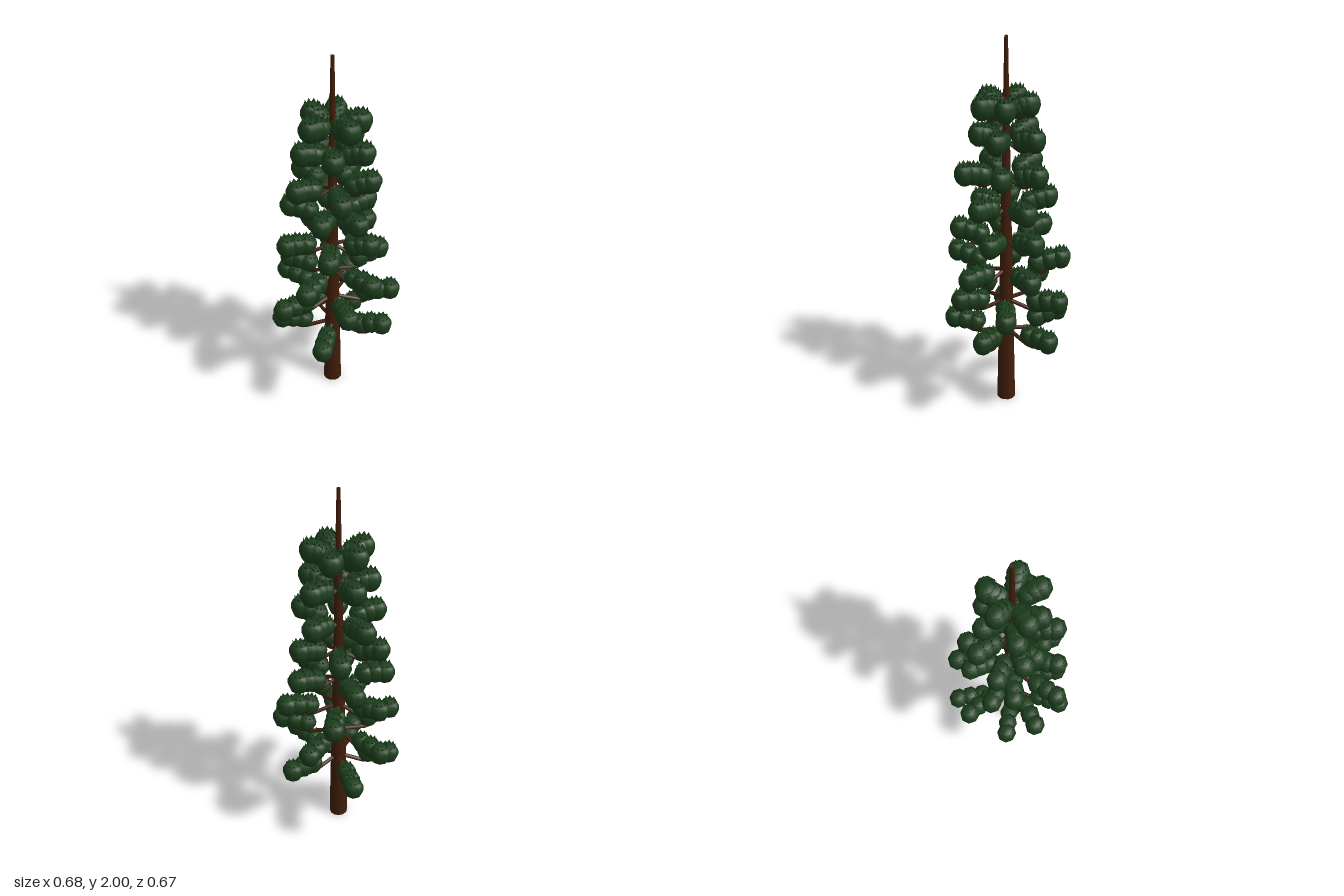
import * as THREE from 'three';
import { mergeGeometries } from 'three/addons/utils/BufferGeometryUtils.js';

const bark = new THREE.MeshStandardMaterial({ color: 0x401d0a });
bark.name = 'bark brown';
const needles = new THREE.MeshStandardMaterial({ color: 0x1c3d1c, side: THREE.DoubleSide });
needles.name = 'needle green';

// Each tier: foliage height, then branches as [compass angle, tip reach, tip lift]
const TIERS = [
  { y: 0.475, branches: [[7, 0.285, 0.035], [84, 0.285, 0], [159, 0.275, 0], [229, 0.31, 0.005], [297, 0.3, 0.005]] },
  { y: 0.655, branches: [[55, 0.245, 0], [129, 0.305, 0.01], [200, 0.31, -0.005], [274, 0.288, 0], [343, 0.305, 0.005]] },
  { y: 0.835, branches: [[27, 0.265, 0], [100, 0.288, 0.01], [180, 0.23, 0], [248, 0.285, 0.02], [317, 0.275, 0.01]] },
  { y: 1.005, branches: [[6, 0.2, 0.01], [78, 0.235, 0.02], [150, 0.235, -0.01], [222, 0.22, 0], [305, 0.225, 0.015]] },
  { y: 1.18, branches: [[30, 0.18, 0], [97, 0.14, -0.01], [172, 0.21, 0.01], [241, 0.215, 0.01], [313, 0.2, 0]] },
  { y: 1.345, branches: [[350, 0.185, 0.015], [62, 0.205, -0.005], [136, 0.19, 0], [205, 0.2, 0], [285, 0.18, 0]] },
  { y: 1.53, branches: [[0, 0.155, 0], [72, 0.13, 0], [144, 0.15, 0], [212, 0.145, 0.01], [290, 0.17, 0]] },
  { y: 1.68, branches: [[39, 0.135, 0], [122, 0.135, 0], [192, 0.107, 0.01], [262, 0.112, 0], [345, 0.13, 0]] },
];

// Rounded eight-sided needle clump with short spikes poking out of the top
function clumpGeometry() {
  const profile = [[0, -0.056], [0.026, -0.052], [0.045, -0.036], [0.055, -0.006], [0.054, 0.02], [0.043, 0.043], [0.026, 0.052], [0, 0.054]];
  const body = new THREE.LatheGeometry(profile.map(([r, y]) => new THREE.Vector2(r, y)), 8, Math.PI / 8);
  const spikes = new THREE.CylinderGeometry(0.035, 0.03, 0.024, 18, 1, true);
  const p = spikes.attributes.position;
  for (let i = 0; i < 19; i += 2) p.setY(i, -0.008); // sink every other rim point
  spikes.translate(0, 0.052, 0);
  return mergeGeometries([body, spikes]);
}

function trunkRadius(y) {
  return 0.051 - 0.0212 * y;
}

export function createModel() {
  const tree = new THREE.Group();
  tree.name = 'conifer';

  const add = (parent, geometry, material, name) => {
    const mesh = new THREE.Mesh(geometry, material);
    mesh.name = name;
    parent.add(mesh);
    return mesh;
  };

  // Tapered trunk ending in a bare spire
  add(tree, new THREE.CylinderGeometry(trunkRadius(2), trunkRadius(0), 2, 12), bark, 'trunk').position.y = 1;

  const clump = clumpGeometry();
  TIERS.forEach(({ y, branches }, t) => {
    const tier = new THREE.Group();
    tier.name = `tier${t + 1}`;
    tree.add(tier);

    branches.forEach(([angle, reach, lift]) => {
      // Built along +x, then turned to its compass angle
      const turn = THREE.MathUtils.degToRad(angle);
      const branch = new THREE.Group();
      branch.name = 'branch';
      branch.rotation.y = -turn;
      tier.add(branch);

      // Limb dips away from the trunk, then bends up to the tip
      const curve = new THREE.CatmullRomCurve3([
        new THREE.Vector3(0, y - 0.03, 0),
        new THREE.Vector3(reach * 0.3, y - 0.053, 0),
        new THREE.Vector3(reach * 0.6, y - 0.068, 0),
        new THREE.Vector3(reach, y + lift - 0.01, 0),
      ]);
      add(branch, new THREE.TubeGeometry(curve, 8, 0.011 - t * 0.0004, 6), bark, 'limb');

      // Overlapping needle clumps over the outer half, the inner ones hanging lower
      [0.57, 0.79, 1].forEach((f, i) => {
        const holder = new THREE.Group();
        holder.name = 'clumpTilt';
        holder.position.set(reach * f, y + lift * (f - 0.4) / 0.6 - [0.012, 0.002, 0][i], 0);
        holder.rotation.z = [0.22, 0.12, 0][i];
        branch.add(holder);
        const mesh = add(holder, clump, needles, 'needleClump');
        mesh.rotation.y = turn; // keep all clumps facing alike
        mesh.scale.set(1, 1, 0.94).multiplyScalar(0.94 + 0.03 * i);
      });
    });
  });
  return tree;
}
